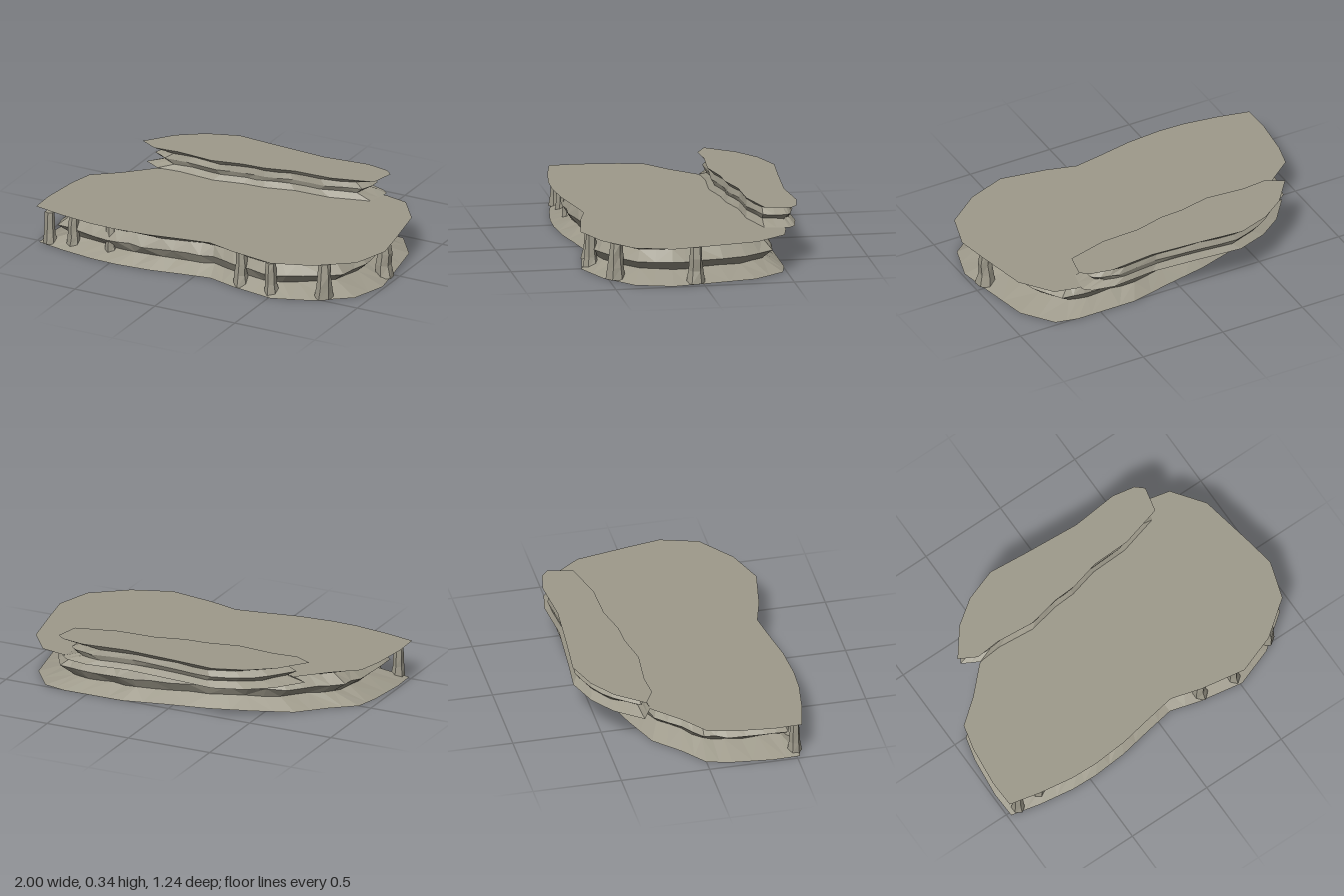
import * as THREE from 'three';

const stone = new THREE.MeshStandardMaterial({ color: 0x9e9a8b, flatShading: true, side: THREE.DoubleSide });
stone.name = 'weathered stone';

// Seeded noise in the range -1..1
function makeNoise(seed) {
  let s = seed;
  return () => {
    s = (s * 16807) % 2147483647;
    return (s / 2147483647) * 2 - 1;
  };
}

// Open skin from stacked rings of equal length, listed from bottom to top
function skinRings(rings) {
  const n = rings[0].length;
  const index = [];
  for (let j = 0; j < rings.length - 1; j++) {
    for (let i = 0; i < n; i++) {
      const k = (i + 1) % n;
      const a = j * n + i, b = j * n + k, c = a + n, d = b + n;
      if ((i + j) % 2) index.push(a, b, d, a, d, c);
      else index.push(a, b, c, b, d, c);
    }
  }
  const geometry = new THREE.BufferGeometry();
  geometry.setAttribute('position', new THREE.Float32BufferAttribute(rings.flat(2), 3));
  geometry.setIndex(index);
  geometry.computeVertexNormals();
  return geometry;
}

// Rock layer: eroded wall with knife-edge rims, flat top, hollow underneath
function makeLayer(name, outline, [cx, cz], y0, y1, profile, jitter, seed) {
  const noise = makeNoise(seed);
  const points = [];
  outline.forEach(([x, z], i) => {
    const [nx, nz] = outline[(i + 1) % outline.length];
    points.push([x, z], [(x + nx) / 2, (z + nz) / 2]);
  });
  const rings = profile.map(([t, scale], row) => {
    const rough = row > 0 && row < profile.length - 1 ? jitter : 0;
    return points.map(([x, z]) => {
      const s = scale + noise() * rough;
      return [cx + (x - cx) * s, y0 + (y1 - y0) * (t + noise() * rough * 1.5), cz + (z - cz) * s];
    });
  });
  const wall = new THREE.Mesh(skinRings(rings), stone);
  wall.name = name + 'Wall';

  const shape = new THREE.Shape(outline.map(([x, z]) => new THREE.Vector2(x, -z)));
  const top = new THREE.Mesh(new THREE.ShapeGeometry(shape).rotateX(-Math.PI / 2).translate(0, y1, 0), stone);
  top.name = name + 'Top';

  const group = new THREE.Group();
  group.name = name;
  group.add(wall, top);
  return group;
}

// Rough tapering stone column
function makePillar(x, z, width, height, seed) {
  const noise = makeNoise(seed);
  const geometry = new THREE.CylinderGeometry(width * 0.62, width, height, 6, 3);
  const p = geometry.attributes.position;
  const rowScale = [1, 0.95, 0.92, 1];
  const bumps = Array.from({ length: 24 }, () => 1 + noise() * 0.12);
  const lean = [0, 1, 2, 3].map(() => noise() * 0.005);
  for (let i = 0; i < p.count; i++) {
    const row = Math.round((0.5 - p.getY(i) / height) * 3);
    const side = (Math.round(Math.atan2(p.getX(i), p.getZ(i)) / (Math.PI / 3)) + 6) % 6;
    const s = rowScale[row] * bumps[row * 6 + side];
    p.setXYZ(i, p.getX(i) * s + lean[row], p.getY(i), p.getZ(i) * s);
  }
  geometry.computeVertexNormals();
  const mesh = new THREE.Mesh(geometry, stone);
  mesh.position.set(x, 0.004 + height / 2, z);
  mesh.name = 'pillar';
  return mesh;
}

export function createModel() {
  const model = new THREE.Group();
  model.name = 'layeredRock';

  // Broad lower layer
  const lowerOutline = [
    [-0.995, 0.525], [-0.82, 0.565], [-0.62, 0.595], [-0.47, 0.6], [-0.27, 0.585], [-0.08, 0.55],
    [0.09, 0.522], [0.26, 0.57], [0.52, 0.615], [0.74, 0.535], [0.935, 0.385], [1, 0.175],
    [0.97, 0], [0.91, -0.31], [0.78, -0.485], [0.65, -0.515], [0.48, -0.515], [0.29, -0.515],
    [0.05, -0.46], [-0.2, -0.41], [-0.44, -0.335], [-0.66, -0.25], [-0.8, -0.11], [-0.94, 0],
    [-0.975, 0.14], [-1, 0.37],
  ];
  const lowerProfile = [[0, 0.985], [0.26, 0.82], [0.51, 0.885], [0.78, 0.82], [1, 1]];
  model.add(makeLayer('lowerLayer', lowerOutline, [0, 0.05], 0, 0.215, lowerProfile, 0.014, 17));

  // Narrow upper layer overhanging the back
  const upperOutline = [
    [-0.77, -0.305], [-0.67, -0.25], [-0.53, -0.262], [-0.31, -0.243], [-0.13, -0.28], [0, -0.287],
    [0.17, -0.33], [0.39, -0.337], [0.625, -0.4], [0.655, -0.54], [0.61, -0.58], [0.48, -0.605],
    [0.22, -0.58], [-0.1, -0.602], [-0.33, -0.622], [-0.51, -0.56], [-0.65, -0.46],
  ];
  const upperProfile = [[0, 0.97], [0.26, 0.83], [0.51, 0.9], [0.78, 0.83], [1, 1]];
  model.add(makeLayer('upperLayer', upperOutline, [-0.06, -0.43], 0.217, 0.336, upperProfile, 0.014, 91));

  // Columns under the lower rim: x, z, base radius, height
  const pillars = [
    [-0.925, 0.5, 0.042, 0.185], [-0.78, 0.49, 0.042, 0.185], [-0.54, 0.495, 0.042, 0.185],
    [0.285, 0.52, 0.048, 0.195], [0.485, 0.55, 0.044, 0.185], [0.77, 0.46, 0.055, 0.208],
    [0.927, 0.04, 0.053, 0.208],
  ];
  pillars.forEach(([x, z, w, h], i) => model.add(makePillar(x, z, w, h, 301 + i * 57)));

  return model;
}
